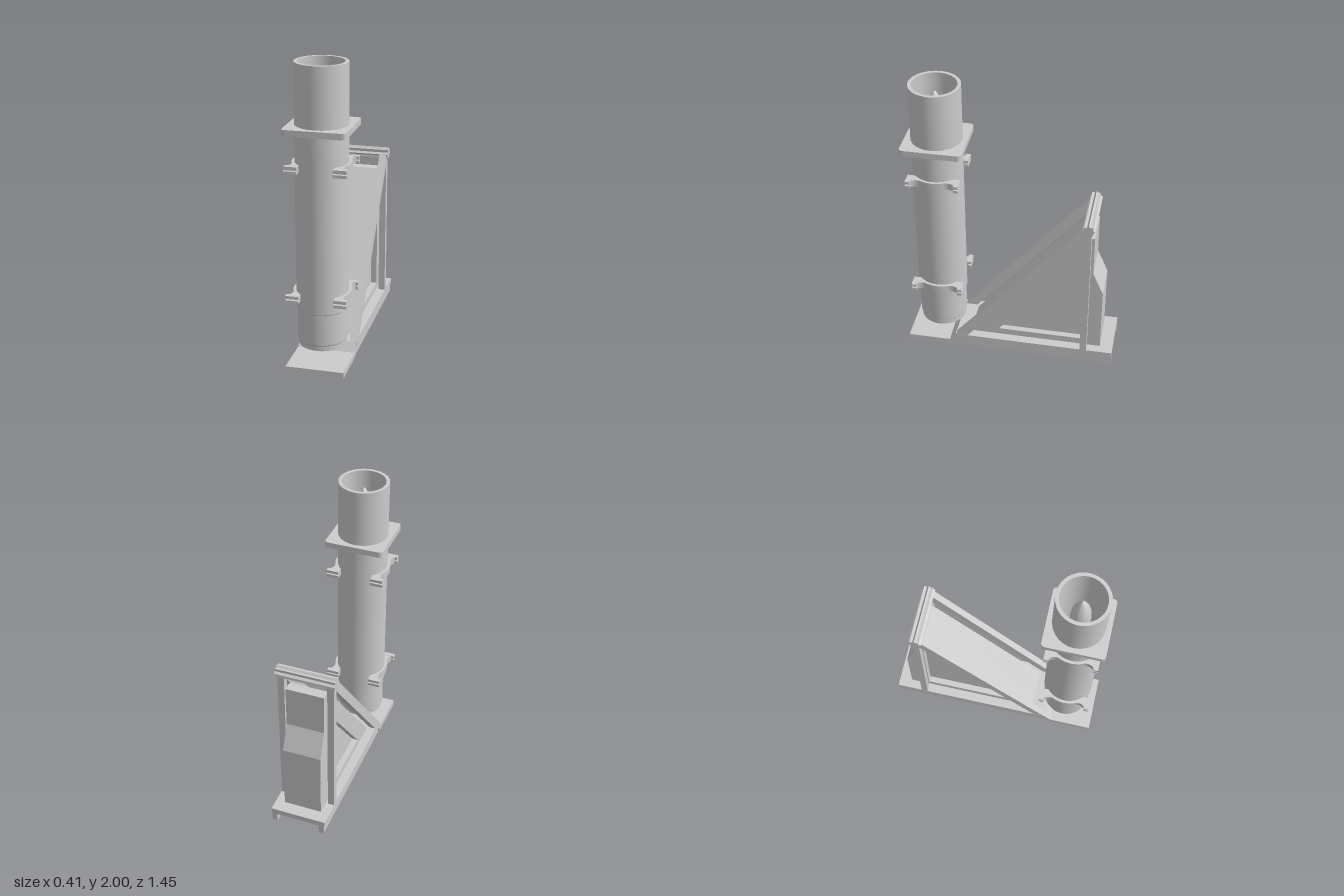
import * as THREE from 'three';
import { toCreasedNormals } from 'three/addons/utils/BufferGeometryUtils.js';

const material = new THREE.MeshStandardMaterial({ color: 0xcccccc });
const TUBE_Z = 0.508;

function add(parent, name, geometry, x = 0, y = 0, z = 0) {
  const mesh = new THREE.Mesh(geometry, material);
  mesh.name = name;
  mesh.position.set(x, y, z);
  parent.add(mesh);
  return mesh;
}

const vectors = (points) => points.map(([a, b]) => new THREE.Vector2(a, b));

// Side profile given as [z, y], extruded across x from x0 to x1
function sideExtrude(points, x0, x1, hole) {
  const shape = new THREE.Shape(vectors(points));
  if (hole) shape.holes.push(new THREE.Path(vectors(hole)));
  const geometry = new THREE.ExtrudeGeometry(shape, { depth: x1 - x0, bevelEnabled: false });
  geometry.rotateY(-Math.PI / 2);
  geometry.translate(x1, 0, 0);
  return geometry;
}

// Plan shape extruded upward
function planExtrude(shape, height) {
  const geometry = new THREE.ExtrudeGeometry(shape, { depth: height, bevelEnabled: false, curveSegments: 32 });
  geometry.rotateX(-Math.PI / 2);
  return toCreasedNormals(geometry, 0.5);
}

function lathe(points) {
  return toCreasedNormals(new THREE.LatheGeometry(vectors(points), 64), 0.5);
}

function createTube() {
  const group = new THREE.Group();
  group.name = 'launchTube';
  group.position.z = TUBE_Z;

  // Tube with a narrower lower collar and a closed floor
  add(group, 'tube', lathe([
    [0, 0.145], [0.156, 0.145], [0.156, 0.178], [0.162, 0.185], [0.162, 0.394],
    [0.169, 0.4], [0.169, 2], [0.146, 2], [0.146, 0.16], [0, 0.16],
  ]));

  // Slim body with a pointed nose inside the tube
  add(group, 'innerBody', lathe([
    [0, 0.17], [0.05, 0.17], [0.065, 0.25], [0.065, 1.73], [0.06, 1.8],
    [0.047, 1.86], [0.027, 1.915], [0.01, 1.945], [0, 1.953],
  ]));
  for (let i = 0; i < 4; i++) {
    const fin = add(group, 'innerFin', new THREE.BoxGeometry(0.084, 0.3, 0.006).translate(0.103, 0, 0), 0, 0.4, 0);
    fin.rotation.y = i * Math.PI / 2;
  }

  // Square collar with rounded corners
  const h = 0.203, r = 0.025;
  const square = new THREE.Shape();
  square.absarc(h - r, h - r, r, 0, Math.PI / 2);
  square.absarc(r - h, h - r, r, Math.PI / 2, Math.PI);
  square.absarc(r - h, r - h, r, Math.PI, Math.PI * 1.5);
  square.absarc(h - r, r - h, r, Math.PI * 1.5, Math.PI * 2);
  square.holes.push(new THREE.Path().absarc(0, 0, 0.167, 0, Math.PI * 2, true));
  add(group, 'squareCollar', planExtrude(square, 0.04), 0, 1.57, 0);

  // Curved clamps flowing into split end tabs, two on each side
  const a = 0.45, inner = 0.83;
  const outerX = 0.188 * Math.cos(a), outerZ = 0.188 * Math.sin(a);
  const band = new THREE.Shape();
  band.moveTo(0.115, -0.155);
  band.lineTo(0.195, -0.155);
  band.quadraticCurveTo(0.158, -0.125, outerX, -outerZ);
  band.absarc(0, 0, 0.188, -a, a, false);
  band.quadraticCurveTo(0.158, 0.125, 0.195, 0.155);
  band.lineTo(0.115, 0.155);
  band.absarc(0, 0, 0.167, inner, -inner, true);
  const bandGeometry = planExtrude(band, 0.048);
  const prong = new THREE.BoxGeometry(0.085, 0.02, 0.032);
  for (const y of [0.467, 1.323]) {
    for (const turn of [0, Math.PI]) {
      const clamp = new THREE.Group();
      clamp.name = 'clamp';
      clamp.position.y = y;
      clamp.rotation.y = turn;
      add(clamp, 'clampBand', bandGeometry);
      for (const s of [-1, 1]) {
        add(clamp, 'clampTab', prong, 0.1575, 0.009, s * 0.16);
        add(clamp, 'clampTab', prong, 0.1575, 0.039, s * 0.16);
      }
      group.add(clamp);
    }
  }
  return group;
}

function createBase() {
  const group = new THREE.Group();
  group.name = 'base';
  // Deck carried by two slightly inset side rails
  add(group, 'deck', new THREE.BoxGeometry(0.386, 0.04, 1.103), 0, 0.08, -0.1715);
  for (const s of [-1, 1]) {
    add(group, 'baseRail', new THREE.BoxGeometry(0.036, 0.06, 1.103), s * 0.168, 0.03, -0.1715);
  }
  // Low front plate with a sloped step up to the deck
  add(group, 'frontPlate', sideExtrude([
    [0.725, 0], [0.725, 0.042], [0.43, 0.042], [0.385, 0.1], [0.36, 0.1], [0.36, 0.062], [0.41, 0],
  ], -0.192, 0.192));
  return group;
}

function createFrame() {
  const group = new THREE.Group();
  group.name = 'supportFrame';

  // Sloped rails and upright posts
  const slope = [[0.38, 0.1], [-0.487, 1.14], [-0.502, 1.14], [-0.502, 1.06], [0.3, 0.1]];
  for (const [x0, x1] of [[-0.192, -0.147], [0.147, 0.192]]) {
    add(group, 'slopedRail', sideExtrude(slope, x0, x1));
    add(group, 'uprightPost', new THREE.BoxGeometry(0.045, 1.03, 0.045), (x0 + x1) / 2, 0.615, -0.523);
  }

  // Fluted cross bar
  const star = [];
  for (let i = 0; i < 16; i++) {
    const radius = i % 2 ? 0.031 : 0.043;
    const angle = i * Math.PI / 8;
    star.push([-0.525 + radius * Math.cos(angle), 1.137 + radius * Math.sin(angle)]);
  }
  add(group, 'crossBar', sideExtrude(star, -0.204, 0.204));

  // Wedge body: solid core, with side frames around recessed triangular panels
  const wedge = [[0.285, 0.1], [-0.492, 1.03], [-0.562, 1.03], [-0.562, 0.74], [-0.635, 0.57], [-0.635, 0.1]];
  const opening = [[0.085, 0.148], [-0.502, 0.148], [-0.502, 0.86]];
  const panelX = 0.09;
  add(group, 'wedgeCore', sideExtrude(wedge, -panelX, panelX));
  add(group, 'wedgeSideFrame', sideExtrude(wedge, panelX, 0.131, opening));
  add(group, 'wedgeSideFrame', sideExtrude(wedge, -0.131, -panelX, opening));
  return group;
}

export function createModel() {
  const model = new THREE.Group();
  model.name = 'tubeLauncher';
  model.add(createTube(), createBase(), createFrame());
  return model;
}
